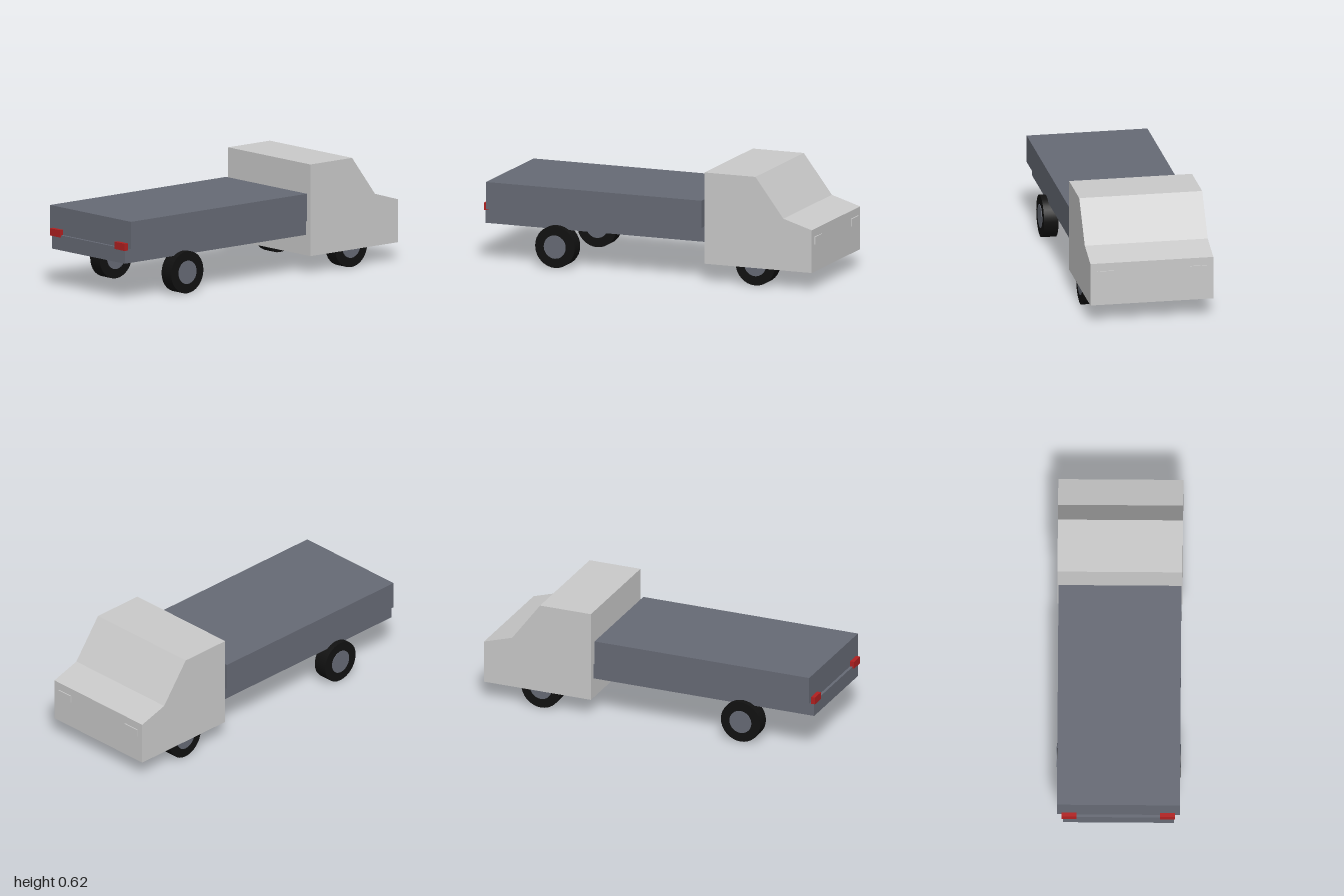
import * as THREE from 'three';

const mat = (name, color) => {
  const m = new THREE.MeshStandardMaterial({ color });
  m.name = name;
  return m;
};

export function createModel() {
  const truck = new THREE.Group();
  truck.name = 'flatbedTruck';
  const cabGrey = mat('cab light grey', 0xc9c9c9);
  const slate = mat('slate grey', 0x666a75);
  const black = mat('tyre black', 0x111111);
  const red = mat('tail light red', 0xb02020);

  const add = (name, geometry, material, parent = truck) => {
    const mesh = new THREE.Mesh(geometry, material);
    mesh.name = name;
    parent.add(mesh);
    return mesh;
  };
  // Box given by its extents on each axis
  const box = (name, material, [x0, x1], [y0, y1], [z0, z1]) =>
    add(name, new THREE.BoxGeometry(x1 - x0, y1 - y0, z1 - z0), material)
      .position.set((x0 + x1) / 2, (y0 + y1) / 2, (z0 + z1) / 2);

  // Chassis and cargo bed
  box('chassis', slate, [-0.309, 0.309], [0.215, 0.3], [-0.4, 0.992]);
  box('cargoBed', slate, [-0.342, 0.342], [0.3, 0.455], [-0.325, 0.976]);

  // Cab: side profile (z, y) extruded across the width
  const profile = [[-0.345, 0.1], [-0.345, 0.619], [-0.653, 0.619],
    [-0.822, 0.395], [-0.993, 0.343], [-0.993, 0.1]];
  const shape = new THREE.Shape(profile.map(([z, y]) => new THREE.Vector2(-z, y)));
  const cab = new THREE.ExtrudeGeometry(shape, { depth: 0.696, bevelEnabled: false });
  cab.translate(0, 0, -0.348).rotateY(Math.PI / 2);
  add('cab', cab, cabGrey);

  // Lamps on both sides
  for (const side of [-1, 1]) {
    const span = (a, b) => (side > 0 ? [a, b] : [-b, -a]);
    box('tailLight', red, span(0.232, 0.316), [0.289, 0.33], [0.975, 1]);
    box('headlight', cabGrey, span(0.215, 0.312), [0.256, 0.298], [-1, -0.985]);
  }

  // Wheels: tyre with a hub showing on both faces
  const tyre = new THREE.CylinderGeometry(0.119, 0.119, 0.082, 32).rotateZ(Math.PI / 2);
  const hub = new THREE.CylinderGeometry(0.066, 0.066, 0.088, 32).rotateZ(Math.PI / 2);
  for (const z of [-0.65, 0.56]) {
    for (const x of [-0.302, 0.302]) {
      const wheel = new THREE.Group();
      wheel.name = z < 0 ? 'cabWheel' : 'bedWheel';
      wheel.position.set(x, 0.119, z);
      add('tyre', tyre, black, wheel);
      add('hub', hub, slate, wheel);
      truck.add(wheel);
    }
  }
  return truck;
}
